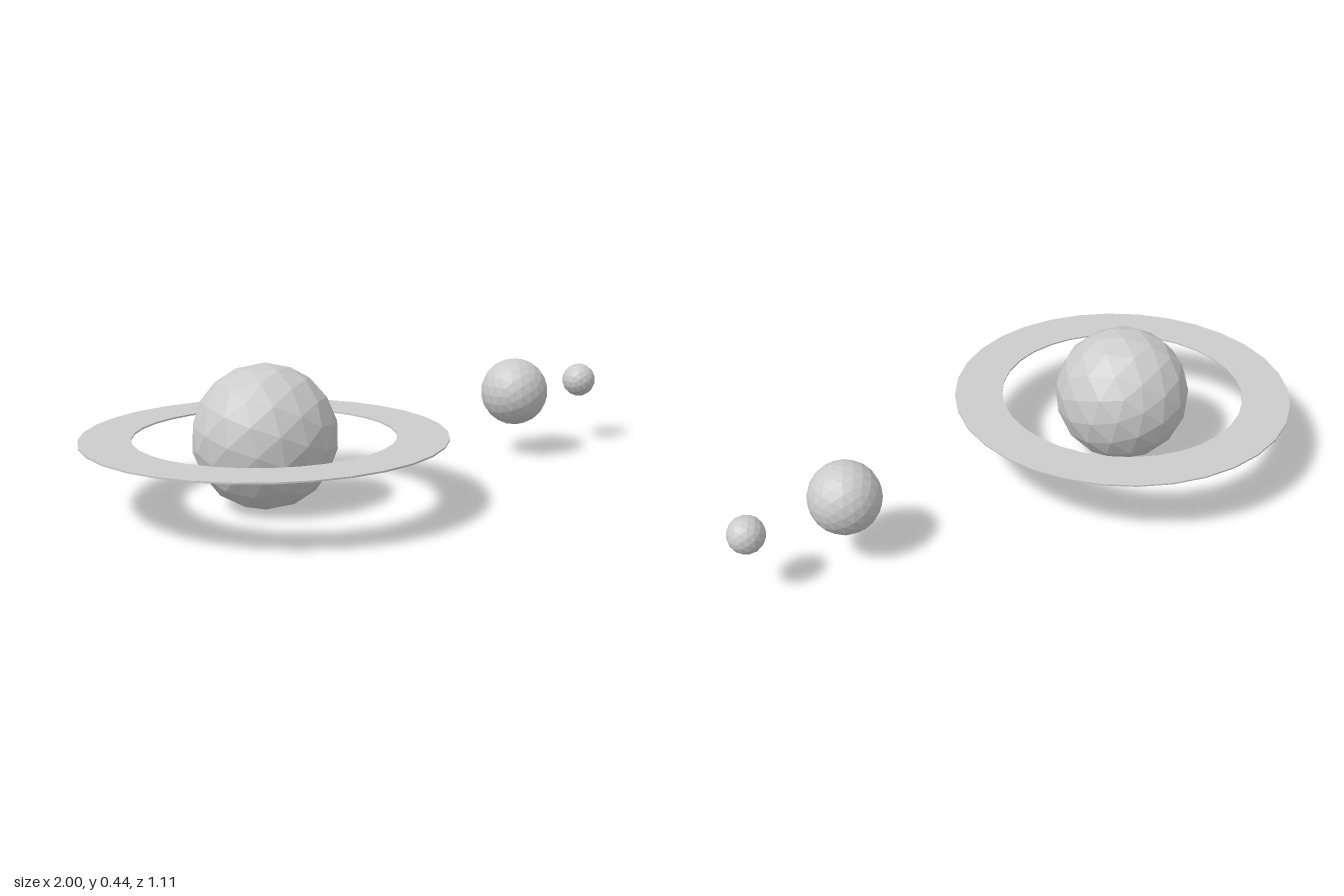
import * as THREE from 'three';

const material = new THREE.MeshStandardMaterial({ color: 0xcccccc, flatShading: true });
const CENTER_Y = 0.222;
const PLANET_X = -0.445;

// Faceted globe on the common orbital plane
function globe(name, radius, detail, x, tilt = [0, 0, 0]) {
  const mesh = new THREE.Mesh(new THREE.IcosahedronGeometry(radius, detail), material);
  mesh.name = name;
  mesh.position.set(x, CENTER_Y, 0);
  mesh.rotation.set(...tilt);
  return mesh;
}

// Thin flat band, swept from a rectangular cross-section
function flatRing(name, inner, outer, thickness, segments) {
  const h = thickness / 2;
  const profile = [[inner, -h], [outer, -h], [outer, h], [inner, h], [inner, -h]]
    .map(([r, y]) => new THREE.Vector2(r, y));
  const mesh = new THREE.Mesh(new THREE.LatheGeometry(profile, segments), material);
  mesh.name = name;
  mesh.position.set(PLANET_X, CENTER_Y, 0);
  return mesh;
}

export function createModel() {
  const model = new THREE.Group();
  model.name = 'ringedPlanetWithMoons';
  model.add(
    globe('planet', 0.222, 2, PLANET_X, [0.3, 0.4, 0.2]),
    flatRing('planetRing', 0.398, 0.555, 0.005, 32),
    globe('largeMoon', 0.114, 3, 0.615),
    globe('smallMoon', 0.058, 2, 0.942),
  );
  return model;
}
